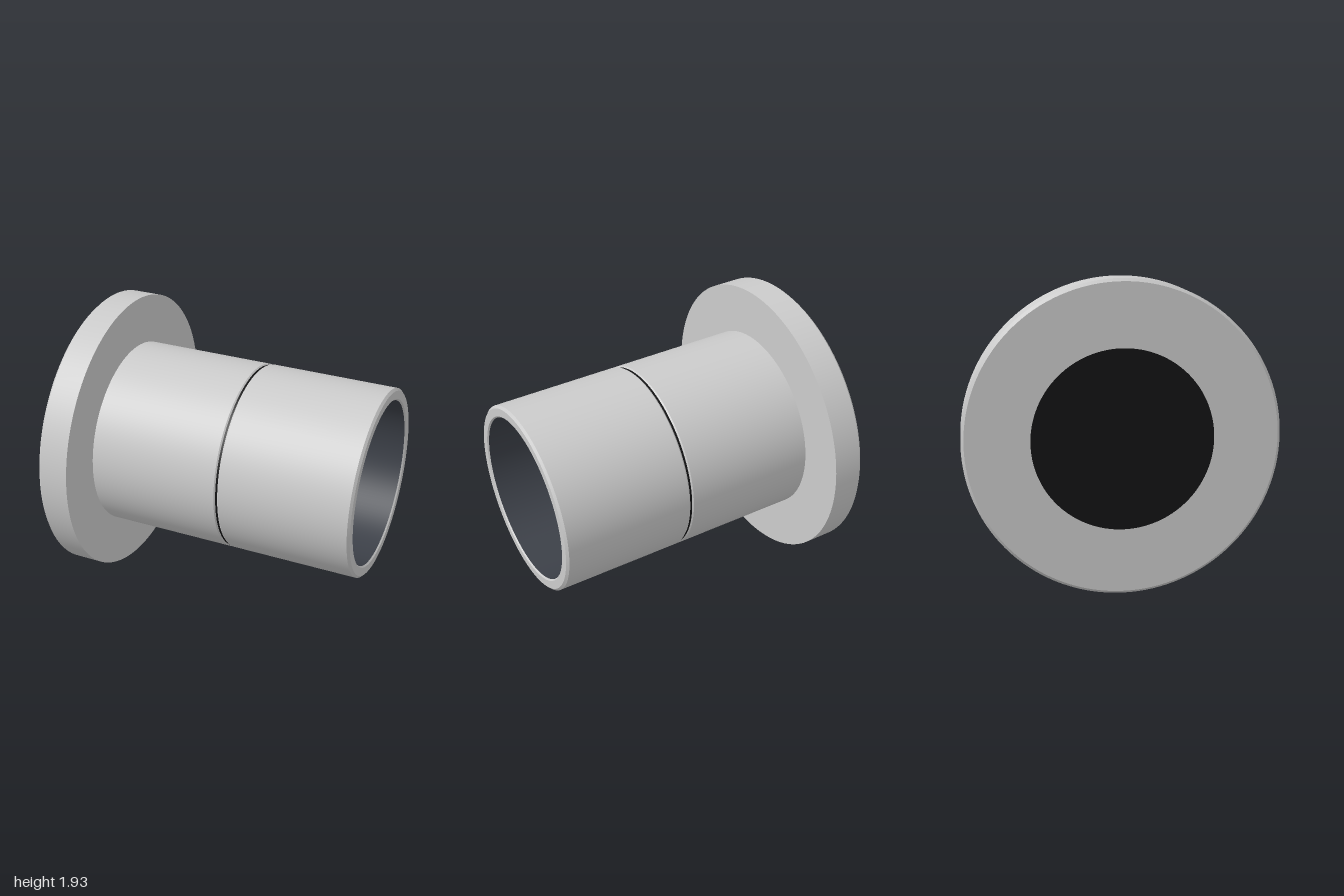
import * as THREE from 'three';
import { mergeGeometries } from 'three/addons/utils/BufferGeometryUtils.js';

const AXIS_Y = 0.963;
const SEGMENTS = 128;

// Revolves a profile of [x, radius] points about the x axis, keeping each corner sharp.
// Profiles run towards +x on the outside and towards -x on the inside.
function turned(name, profile, material) {
  const bands = [];
  for (let i = 0; i < profile.length - 1; i++) {
    const points = [profile[i], profile[i + 1]].map(([x, r]) => new THREE.Vector2(r, x));
    bands.push(new THREE.LatheGeometry(points, SEGMENTS));
  }
  const geometry = mergeGeometries(bands);
  geometry.rotateZ(-Math.PI / 2);
  const mesh = new THREE.Mesh(geometry, material);
  mesh.name = name;
  return mesh;
}

export function createModel() {
  const grey = new THREE.MeshStandardMaterial({ color: 0xcccccc });
  const dark = new THREE.MeshStandardMaterial({ color: 0x3c4048 });
  const black = new THREE.MeshStandardMaterial({ color: 0x131314 });

  const model = new THREE.Group();
  model.name = 'flangedSleeve';

  // Flange with a chamfered outer rim
  model.add(turned('flange', [
    [-1, 0.553], [-1, 0.945], [-0.982, 0.963], [-0.79, 0.963], [-0.79, 0.62],
  ], grey));

  // Sleeve halves on either side of the groove
  model.add(turned('innerSleeve', [
    [-0.79, 0.633], [0.09, 0.633], [0.099, 0.626], [0.099, 0.61],
  ], grey));
  model.add(turned('outerSleeve', [
    [0.113, 0.61], [0.113, 0.626], [0.122, 0.633], [0.985, 0.633], [1, 0.617],
    [1, 0.562], [0.99, 0.553],
  ], grey));

  // Black ring in the groove
  model.add(turned('grooveRing', [[0.098, 0.626], [0.114, 0.626]], black));

  // Dark lining of the bore
  model.add(turned('boreLining', [[0.99, 0.553], [-0.995, 0.553]], dark));

  // Black plate closing the bore at the flange end
  const plate = new THREE.Mesh(new THREE.CylinderGeometry(0.553, 0.553, 0.01, SEGMENTS), black);
  plate.name = 'endPlate';
  plate.rotation.z = -Math.PI / 2;
  plate.position.x = -0.995;
  model.add(plate);

  for (const part of model.children) part.position.y = AXIS_Y;
  return model;
}
